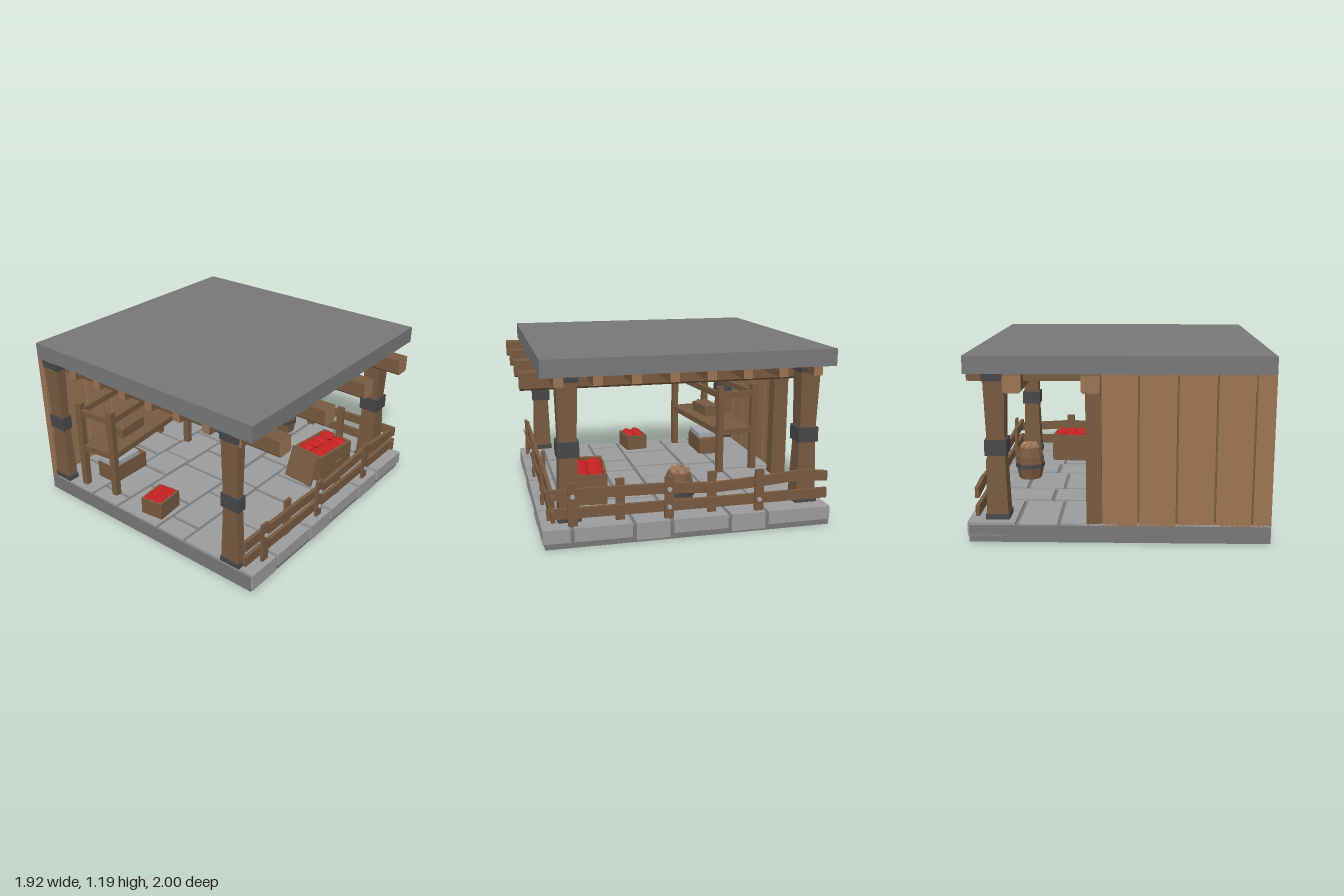
import * as THREE from 'three';

const mat = (name, color) => {
  const m = new THREE.MeshStandardMaterial({ color, flatShading: true });
  m.name = name;
  return m;
};

export function createModel() {
  const root = new THREE.Group();
  root.name = 'workshopShelter';
  const stone = mat('stone', 0x787878), slab = mat('lightStone', 0x9c9c9c);
  const wood = mat('wood', 0x785a40), pale = mat('paleWood', 0x9b7454);
  const iron = mat('iron', 0x48484a), steel = mat('steel', 0xa2a8ae), red = mat('red', 0xc42222);

  const add = (name, geo, m, parent = root) => {
    const mesh = new THREE.Mesh(geo, m);
    mesh.name = name;
    parent.add(mesh);
    return mesh;
  };
  const box = (name, m, x0, x1, y0, y1, z0, z1, parent = root) => {
    const mesh = add(name, new THREE.BoxGeometry(x1 - x0, y1 - y0, z1 - z0), m, parent);
    mesh.position.set((x0 + x1) / 2, (y0 + y1) / 2, (z0 + z1) / 2);
    return mesh;
  };
  const group = (name, x, y, z, yaw = 0, parent = root) => {
    const g = new THREE.Group();
    g.name = name;
    g.position.set(x, y, z);
    g.rotation.y = yaw;
    parent.add(g);
    return g;
  };
  let seed = 7;
  const rnd = () => (seed = (seed * 16807) % 2147483647) / 2147483647;

  // Base and roof
  box('base', stone, -0.96, 0.945, 0, 0.112, -1, 0.9);
  box('roof', stone, -0.96, 0.945, 1.078, 1.19, -1, 0.9);

  // Paving slabs in rows of alternating depth, overhanging at front and right
  const zEdges = [0.915, 0.73, 0.335, 0.09, -0.3, -0.555, -1.012];
  const xEdges = [-0.96, -0.7, -0.315, -0.055, 0.325, 0.59, 0.967];
  for (let r = 0; r < 6; r++) {
    const shift = [0, 0.14, -0.1, 0.08, -0.13, 0.05][r];
    const xs = xEdges.map((x, i) => (i === 0 || i === 6 ? x : x + shift));
    for (let c = 0; c < 6; c++) {
      const atEdge = r === 0 || c === 5;
      const low = (r === 0 ? c % 2 : r % 2) ? 0.04 : 0.015;
      box('pavingSlab', slab, xs[c] + (c ? 0.012 : 0.005), xs[c + 1] - 0.012,
        atEdge ? low : 0.08, 0.13 - (atEdge ? 0 : rnd() * 0.008),
        zEdges[r + 1] + 0.012, zEdges[r] - (r ? 0.012 : 0));
    }
  }

  // Main beams along z, with pale chamfered ends
  const beamShape = new THREE.Shape();
  [[-0.057, -0.042], [-0.045, -0.055], [0.045, -0.055], [0.057, -0.042], [0.057, 0.055], [-0.057, 0.055]]
    .forEach(([x, y], i) => (i ? beamShape.lineTo(x, y) : beamShape.moveTo(x, y)));
  for (const x of [-0.78, -0.305, 0.17, 0.647]) {
    const geo = new THREE.ExtrudeGeometry(beamShape, { depth: 2, bevelEnabled: false });
    add('mainBeam', geo, [pale, wood]).position.set(x, 1.015, -1);
  }
  // Rafters along x
  for (let i = 0; i < 8; i++) {
    const z = 0.79 - i * 0.2375;
    box('rafter', [pale, pale, wood, wood, wood, wood], -0.96, 0.945, 1.02, 1.08, z - 0.03, z + 0.03);
  }

  // Tapered square posts with iron shoe, band and cap
  const taper = (name, m, top, bottom, y0, y1, parent) => {
    const g = new THREE.CylinderGeometry(top / Math.SQRT2, bottom / Math.SQRT2, y1 - y0, 4).rotateY(Math.PI / 4);
    add(name, g, m, parent).position.y = (y0 + y1) / 2;
  };
  for (const [x, z, sx] of [[0.77, 0.73, 1], [0.77, -0.875, 1], [-0.925, 0.73, 0.5], [-0.92, -0.875, 0.55]]) {
    const g = group('post', x, 0, z);
    g.scale.x = sx;
    taper('postLower', wood, 0.11, 0.14, 0.13, 0.6, g);
    taper('postUpper', wood, 0.135, 0.11, 0.6, 1.07, g);
    taper('postShoe', iron, 0.15, 0.152, 0.13, 0.165, g);
    taper('postBand', iron, 0.14, 0.14, 0.55, 0.65, g);
    taper('postCap', iron, 0.152, 0.148, 1.025, 1.075, g);
  }

  // Back wall of planks with end post
  box('wallBacking', wood, -0.955, 0.11, 0.11, 1.08, -0.985, -0.965);
  for (const [a, b] of [[-0.96, -0.845], [-0.833, -0.612], [-0.6, -0.372], [-0.36, -0.132], [-0.12, 0.1]])
    box('wallPlank', pale, a, b, 0.11, 1.08, -1, -0.95);
  box('wallEndPost', wood, 0.105, 0.2, 0.11, 1.07, -1, -0.89);

  // Fences: sagging rails, alternating outer and inner stakes, steel bolts
  const rail = (name, pts, h, parent) => {
    const s = new THREE.Shape();
    pts.forEach(([x, y], i) => (i ? s.lineTo(x, y) : s.moveTo(x, y)));
    [...pts].reverse().forEach(([x, y]) => s.lineTo(x, y + h));
    add(name, new THREE.ExtrudeGeometry(s, { depth: 0.025, bevelEnabled: false }), wood, parent);
  };
  const fence = (g, a, b, stakes, inner, upper) => {
    rail('upperRail', upper, 0.068, g);
    rail('lowerRail', [[a, 0.175], [(a + b) / 2, 0.17], [b, 0.172]], 0.068, g);
    stakes.forEach((x, i) => {
      box('fenceStake', wood, x - 0.03, x + 0.03, 0.125, 0.41, 0.025, 0.045, g);
      for (const y of i === 0 ? [0.325] : i === 1 ? [0.325, 0.207] : [0.207]) {
        const bolt = add('bolt', new THREE.CylinderGeometry(0.015, 0.015, 0.014, 8), steel, g);
        bolt.rotation.x = Math.PI / 2;
        bolt.position.set(x, y, 0.05);
      }
    });
    inner.forEach(x => box('innerStake', wood, x - 0.028, x + 0.028, 0.125, 0.405, -0.022, 0, g));
  };
  fence(group('frontFence', 0, 0, 0.833), -0.96, 0.945, [-0.78, -0.16, 0.46], [-0.47, 0.155],
    [[-0.96, 0.292], [-0.5, 0.288], [-0.16, 0.275], [0.2, 0.285], [0.46, 0.3], [0.945, 0.272]]);
  fence(group('rightFence', 0.873, 0, 0, Math.PI / 2), -0.88, 1, [-0.72, -0.1, 0.51], [-0.41, 0.2],
    [[-0.88, 0.3], [-0.5, 0.297], [-0.1, 0.29], [0.2, 0.27], [0.51, 0.285], [0.8, 0.308], [1, 0.29]]);

  // Open crate with lumps of goods inside
  const crate = (name, x, y, z, yaw, w, h, d, goods) => {
    const g = group(name, x, y, z, yaw);
    const t = 0.02;
    box('crateFloor', wood, -w / 2, w / 2, 0, h * 0.6, -d / 2 + t, d / 2 - t, g);
    for (const s of [-1, 1]) {
      box('crateSide', wood, -w / 2, w / 2, 0, h, s * (d / 2 - t / 2) - t / 2, s * (d / 2 - t / 2) + t / 2, g);
      box('crateEnd', wood, s * (w / 2 - t / 2) - t / 2, s * (w / 2 - t / 2) + t / 2, 0, h, -d / 2, d / 2, g);
    }
    for (let i = 0; i < 4; i++) for (let j = 0; j < 2; j++) {
      const lump = add('goods', new THREE.IcosahedronGeometry(1, 0), goods, g);
      lump.scale.set(w * 0.15, 0.035, d * 0.26);
      lump.position.set((i - 1.5) * w * 0.22, h - 0.015 + rnd() * 0.012, (j - 0.5) * d * 0.42);
      lump.rotation.y = rnd() * 3 * 0.2;
    }
    return g;
  };
  crate('leftCrate', -0.79, 0.13, -0.03, 0.12, 0.21, 0.12, 0.17, red);
  const big = crate('frontCrate', 0.38, 0.13, 0.55, -0.1, 0.36, 0.21, 0.26, red);
  const lid = box('crateLid', wood, -0.25, -0.23, 0.0, 0.23, -0.12, 0.12, big);
  lid.rotation.z = -0.35;
  crate('shelfCrate', -0.54, 0.455, -0.6, 0.12, 0.25, 0.075, 0.13, wood);

  // Shelf rack, turned slightly
  const rack = group('shelfRack', -0.42, 0, -0.61, 0.122);
  for (const sx of [-1, 1]) {
    for (const sz of [-1, 1])
      box('rackLeg', wood, sx * 0.45 - 0.023, sx * 0.45 + 0.023, 0.12, 0.79, sz * 0.14 - 0.023, sz * 0.14 + 0.023, rack);
    for (const y of [0.435, 0.72])
      box('rackEndRail', wood, sx * 0.45 - 0.014, sx * 0.45 + 0.014, y - 0.022, y + 0.022, -0.14, 0.14, rack);
  }
  for (const sz of [-1, 1]) for (const y of [0.435, 0.72])
    box('rackRail', wood, -0.45, 0.45, y - 0.022, y + 0.022, sz * 0.14 - 0.015, sz * 0.14 + 0.015, rack);
  box('rackBoard', wood, -0.44, 0.44, 0.43, 0.455, -0.13, 0.13, rack);

  // Low chest with metal top under the rack
  box('chest', wood, -0.76, -0.44, 0.12, 0.25, -0.7, -0.52);
  box('chestPlate', steel, -0.75, -0.5, 0.25, 0.285, -0.69, -0.53);

  // Barrel with pale produce heaped on top
  const barrel = group('barrel', 0.69, 0.13, -0.025, 0.2);
  const profile = [[0, 0], [0.085, 0], [0.105, 0.1], [0.1, 0.17], [0.078, 0.235], [0, 0.235]];
  add('barrelBody', new THREE.LatheGeometry(profile.map(p => new THREE.Vector2(...p)), 8), wood, barrel);
  add('barrelHoop', new THREE.CylinderGeometry(0.108, 0.108, 0.03, 8), iron, barrel).position.y = 0.1;
  for (let i = 0; i < 6; i++) {
    const p = add('produce', new THREE.IcosahedronGeometry(0.036, 0), pale, barrel);
    const a = i * 1.257;
    p.position.set(i ? Math.cos(a) * 0.042 : 0, i ? 0.235 : 0.248, i ? Math.sin(a) * 0.042 : 0);
  }

  // Hanging lamp
  const lamp = group('lamp', -0.01, 0, -0.04);
  add('lampShade', new THREE.CylinderGeometry(0.012, 0.113, 0.055, 10), steel, lamp).position.y = 0.95;
  add('lampBulb', new THREE.CylinderGeometry(0.028, 0.012, 0.028, 8), wood, lamp).position.y = 0.91;
  add('lampCord', new THREE.CylinderGeometry(0.006, 0.006, 0.11, 6), iron, lamp).position.y = 1.025;

  return root;
}
